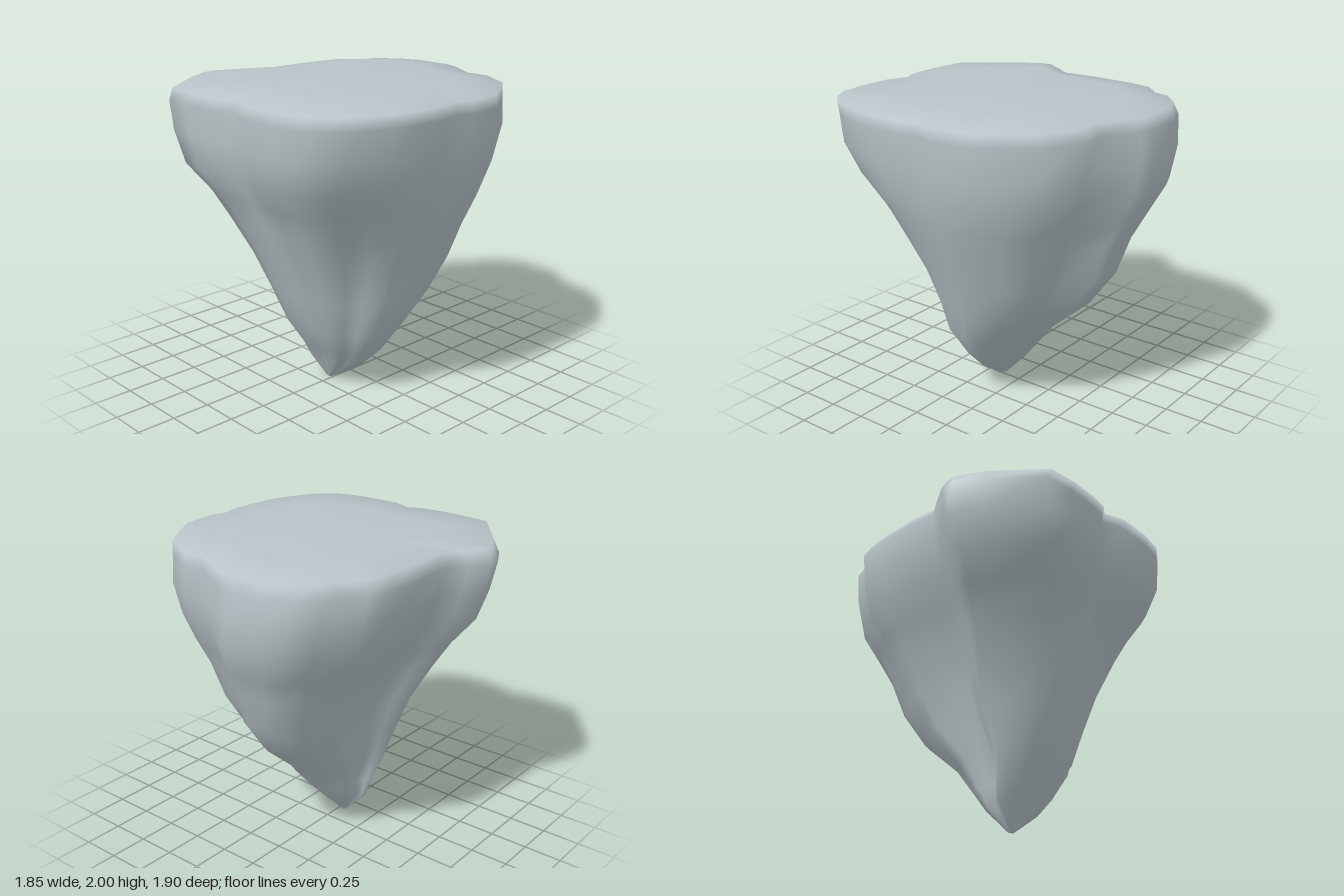
import * as THREE from 'three';

// Plan outline of the rim (x, z), from the front round by the left side
const OUTLINE = [
  [0, 0.89], [0.15, 0.945], [0.4, 0.945], [0.57, 0.92], [0.68, 0.86], [0.77, 0.77], [0.83, 0.65],
  [0.89, 0.5], [0.91, 0.35], [0.92, 0.13], [0.89, 0.01], [0.925, -0.1], [0.9, -0.34], [0.8, -0.5],
  [0.68, -0.67], [0.44, -0.8], [0.29, -0.79], [0.06, -0.92], [-0.04, -0.95], [-0.3, -0.94],
  [-0.45, -0.88], [-0.57, -0.77], [-0.6, -0.67], [-0.72, -0.55], [-0.75, -0.4], [-0.77, -0.1],
  [-0.76, 0.13], [-0.85, 0.25], [-0.93, 0.37], [-0.93, 0.44], [-0.84, 0.61], [-0.6, 0.92],
  [-0.4, 0.945], [-0.2, 0.945], [-0.07, 0.93],
];

// Cross-sections: height, then x and z limits
const RINGS = [
  [0, -0.05, -0.01, 0.13, 0.17],
  [0.15, -0.19, 0.22, -0.01, 0.25],
  [0.27, -0.22, 0.34, -0.11, 0.32],
  [0.45, -0.28, 0.46, -0.25, 0.44],
  [0.68, -0.37, 0.56, -0.51, 0.53],
  [0.92, -0.46, 0.66, -0.68, 0.63],
  [1.15, -0.58, 0.75, -0.75, 0.73],
  [1.33, -0.69, 0.82, -0.84, 0.81],
  [1.5, -0.82, 0.875, -0.92, 0.92],
  [1.7, -0.89, 0.91, -0.95, 0.95],
  [1.88, -0.93, 0.915, -0.93, 0.95],
  [1.96, -0.88, 0.92, -0.91, 0.95],
  [1.995, -0.6, 0.62, -0.62, 0.58],
];

// Grooves running down the sides: place on the outline (x, z), width, depth
const GROOVES = [
  [0.03, 0.9, 0.12, 0.05],
  [0.77, 0.77, 0.2, 0.07],
  [0.36, -0.8, 0.18, 0.07],
  [-0.76, 0.08, 0.22, 0.07],
];

// How far each corner is rounded off towards the tip
function cornerWear(x, z) {
  if (z > 0) return x > 0 ? 0.3 : 0.1;
  return x > 0 ? 0.17 : -0.04;
}

// The outline, worn away towards the tip and fitted to the limits
function section([y, x0, x1, z0, z1]) {
  const wear = THREE.MathUtils.clamp((1.75 - y) / 0.8, 0, 1);
  const worn = OUTLINE.map(([x, z]) => {
    let loss = cornerWear(x, z) * Math.abs(x * z);
    for (const [gx, gz, width, depth] of GROOVES) {
      loss += depth * Math.exp(-((Math.hypot(x - gx, z - gz) / width) ** 2));
    }
    return [x * (1 - wear * loss), z * (1 - wear * loss)];
  });
  const fit = (axis, lo, hi) => {
    const values = worn.map((p) => p[axis]);
    const min = Math.min(...values), max = Math.max(...values);
    return values.map((v) => THREE.MathUtils.mapLinear(v, min, max, lo, hi));
  };
  const xs = fit(0, x0, x1), zs = fit(1, z0, z1);
  return xs.map((x, i) => [x, y, zs[i]]);
}

function rockGeometry() {
  const n = OUTLINE.length;
  const points = RINGS.flatMap(section);
  const index = [];
  // Skin between neighbouring cross-sections
  for (let r = 0; r < RINGS.length - 1; r++) {
    for (let i = 0; i < n; i++) {
      const a = r * n + i, b = r * n + ((i + 1) % n);
      index.push(a, b, b + n, a, b + n, a + n);
    }
  }
  // Flat top and closed tip
  const tip = points.push([-0.03, 0, 0.15]) - 1;
  const crown = points.push([0, 2, 0]) - 1;
  const last = (RINGS.length - 1) * n;
  for (let i = 0; i < n; i++) {
    const j = (i + 1) % n;
    index.push(last + i, last + j, crown, j, i, tip);
  }
  const geometry = new THREE.BufferGeometry();
  geometry.setAttribute('position', new THREE.Float32BufferAttribute(points.flat(), 3));
  geometry.setIndex(index);
  geometry.computeVertexNormals();
  return geometry;
}

export function createModel() {
  const stone = new THREE.MeshStandardMaterial({ color: 0xb8c4c8 });
  stone.name = 'grey stone';
  const rock = new THREE.Mesh(rockGeometry(), stone);
  rock.name = 'floatingRock';
  const group = new THREE.Group();
  group.name = 'rock';
  group.add(rock);
  return group;
}
